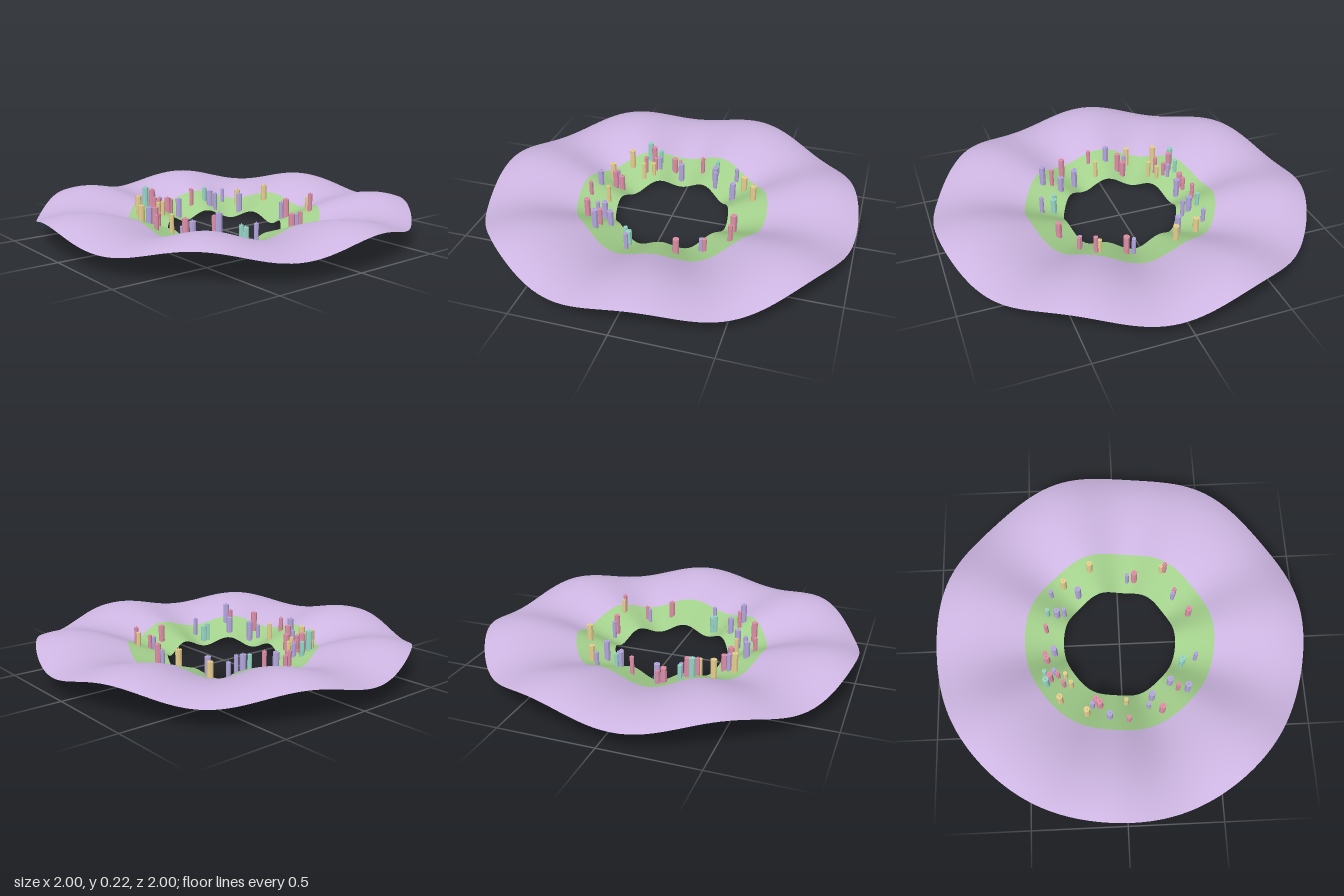
import * as THREE from 'three';
import { mergeVertices } from 'three/addons/utils/BufferGeometryUtils.js';

const INNER = 0.31, SHORE = 0.52, OUTER = 1;

// Height of the land: rises from the hole to a crest, droops to the rim, pleated by seven waves
function landHeight(x, z) {
  const t = (Math.hypot(x, z) - INNER) / (OUTER - INNER);
  const profile = 0.04 + t * (0.229 + 0.122 * t - 0.246 * t * t);
  const wave = Math.cos(7 * Math.atan2(z, x) - Math.PI / 4);
  return profile - (0.022 + 0.01 * t) * wave;
}

// Wavy ring of land between two radii
function landRing(name, r0, r1, rings, color) {
  let geo = new THREE.RingGeometry(r0, r1, 168, rings);
  geo.rotateX(-Math.PI / 2);
  geo.deleteAttribute('uv');
  geo.deleteAttribute('normal');
  const p = geo.attributes.position;
  for (let i = 0; i < p.count; i++) p.setY(i, landHeight(p.getX(i), p.getZ(i)));
  geo = mergeVertices(geo, 1e-5);
  geo.computeVertexNormals();
  const mesh = new THREE.Mesh(geo, new THREE.MeshStandardMaterial({ color, side: THREE.DoubleSide }));
  mesh.name = name;
  return mesh;
}

// Eight-sided towers at [x, z] spots, each with a short stub on the roof
function addTowers(model, name, color, spots) {
  const material = new THREE.MeshStandardMaterial({ color, flatShading: true });
  const shaft = new THREE.CylinderGeometry(1, 1, 1, 8).translate(0, 0.5, 0);
  const stub = new THREE.CylinderGeometry(0.15, 0.3, 1, 6).translate(0, 0.5, 0);
  const sink = 0.008;
  spots.forEach(([x, z], i) => {
    // Thickness and height cycle so that neighbours differ
    const r = 0.012 + 0.0025 * ((i * 2) % 4);
    const h = 0.075 + 0.01 * ((i * 3) % 4) + sink;
    const tower = new THREE.Group();
    tower.name = name;
    tower.position.set(x, landHeight(x, z) - sink, z);
    const body = new THREE.Mesh(shaft, material);
    body.name = 'towerBody';
    body.scale.set(r, h, r);
    const cap = new THREE.Mesh(stub, material);
    cap.name = 'roofStub';
    cap.position.y = h;
    cap.scale.set(r, 0.008, r);
    tower.add(body, cap);
    model.add(tower);
  });
}

export function createModel() {
  const model = new THREE.Group();
  model.name = 'ringIsland';
  model.add(landRing('innerMeadow', INNER, SHORE, 14, 0xa3d08c));
  model.add(landRing('outerPlain', SHORE, OUTER, 28, 0xcdb6e2));

  addTowers(model, 'lilacTower', 0xb5a8e0, [
    [-0.18, -0.36], [-0.05, -0.36], [0.17, -0.3], [0.16, -0.34], [0.28, -0.37],
    [0.29, -0.22], [-0.37, -0.16], [-0.44, -0.07], [-0.38, 0.14], [-0.33, 0.16],
    [-0.12, 0.41], [-0.26, 0.26], [0.25, 0.31], [-0.31, 0.35], [0.37, 0.06]]);
  addTowers(model, 'pinkTower', 0xe090a8, [
    [-0.2, -0.34], [-0.22, -0.38], [-0.25, -0.31], [-0.1, -0.4], [-0.07, -0.41],
    [-0.37, -0.12], [0.07, -0.4], [-0.34, -0.14], [-0.46, 0.03], [-0.41, 0.21],
    [-0.3, 0.3], [0.14, 0.39], [0.27, 0.32], [0.37, 0.1], [0.39, 0.27]]);
  addTowers(model, 'sandTower', 0xe8d090, [
    [-0.2, -0.3], [-0.34, -0.33], [-0.25, -0.27], [0.34, -0.3],
    [0.39, 0.25], [-0.41, -0.19], [-0.36, 0.02], [0.42, -0.15]]);
  addTowers(model, 'tealTower', 0x98d8c8, [
    [-0.19, -0.41], [-0.25, -0.4], [-0.15, 0.33], [-0.13, 0.34], [0.16, -0.39]]);
  return model;
}
